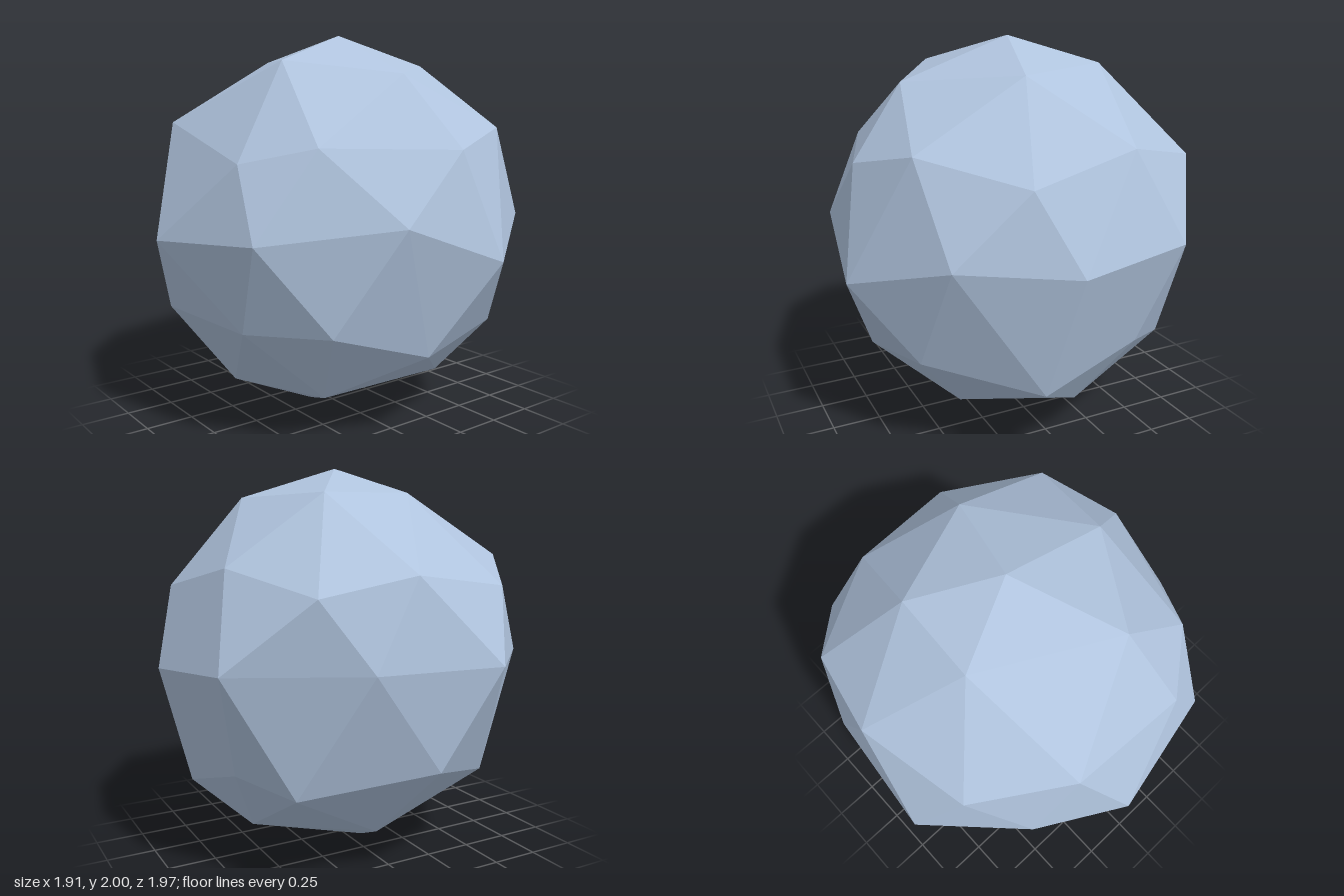
import * as THREE from 'three';

// Corner rings of an irregular faceted boulder, running from +x towards +z, centred on the origin
const TOP = [0, 1, -0.04];
const BOTTOM = [-0.09, -1, 0.08];
const CROWN = [[0.56, 0.79, 0], [0.245, 0.85, 0.48], [-0.405, 0.87, 0.145], [-0.38, 0.87, -0.3], [0.135, 0.85, -0.505]];
const UPPER = [
  [0.845, 0.44, -0.115], [0.63, 0.46, 0.55], [0.35, 0.385, 0.79], [-0.31, 0.555, 0.775], [-0.745, 0.43, 0.475],
  [-0.865, 0.505, -0.09], [-0.775, 0.415, -0.54], [-0.3, 0.525, -0.77], [0.27, 0.41, -0.85], [0.69, 0.53, -0.515],
];
const MIDDLE = [
  [0.955, -0.09, -0.29], [0.885, 0.11, 0.25], [0.545, 0.045, 0.835], [-0.1, 0, 0.98], [-0.545, 0.07, 0.74],
  [-0.96, 0.08, 0.325], [-0.895, 0.085, -0.32], [-0.52, 0.07, -0.895], [0.08, 0.02, -0.985], [0.62, 0.065, -0.77],
];
const LOWER = [
  [0.765, -0.55, 0], [0.67, -0.395, 0.5], [0.335, -0.4, 0.77], [-0.21, -0.365, 0.865], [-0.59, -0.54, 0.5],
  [-0.87, -0.41, 0.045], [-0.62, -0.52, -0.575], [-0.35, -0.445, -0.765], [0.17, -0.61, -0.805], [0.68, -0.465, -0.505],
];
const BASE = [[0.42, -0.775, 0.365], [-0.115, -0.79, 0.555], [-0.5, -0.805, -0.075], [-0.12, -0.8, -0.585], [0.43, -0.78, -0.375]];

function boulderGeometry() {
  const positions = [];
  const face = (...corners) => corners.forEach(([x, y, z]) => positions.push(x, y + 1, z));
  const at = (ring, i) => ring[i % ring.length];

  for (let i = 0; i < 5; i++) {
    // Cap and crown
    const c0 = CROWN[i], c1 = at(CROWN, i + 1);
    const u0 = UPPER[2 * i], u1 = UPPER[2 * i + 1], u2 = at(UPPER, 2 * i + 2);
    face(TOP, c1, c0);
    face(c0, u1, u0);
    face(c0, c1, u1);
    face(c1, u2, u1);

    // Underside
    const b0 = BASE[i], b1 = at(BASE, i + 1);
    const l0 = LOWER[2 * i + 1], l1 = at(LOWER, 2 * i + 2), l2 = at(LOWER, 2 * i + 3);
    face(BOTTOM, b0, b1);
    face(b0, l0, l1);
    face(b0, l1, b1);
    face(b1, l1, l2);
  }

  // Two bands of facets around the middle
  for (let i = 0; i < 10; i++) {
    const m0 = MIDDLE[i], m1 = at(MIDDLE, i + 1);
    face(UPPER[i], m1, m0);
    face(UPPER[i], at(UPPER, i + 1), m1);
    face(LOWER[i], m0, m1);
    face(LOWER[i], m1, at(LOWER, i + 1));
  }

  const geometry = new THREE.BufferGeometry();
  geometry.setAttribute('position', new THREE.Float32BufferAttribute(positions, 3));
  geometry.computeVertexNormals();
  return geometry;
}

export function createModel() {
  const stone = new THREE.MeshStandardMaterial({ color: 0xb0c4de });
  stone.name = 'paleBlueStone';
  stone.flatShading = true;

  const boulder = new THREE.Mesh(boulderGeometry(), stone);
  boulder.name = 'boulder';

  const model = new THREE.Group();
  model.name = 'facetedRock';
  model.add(boulder);
  return model;
}
